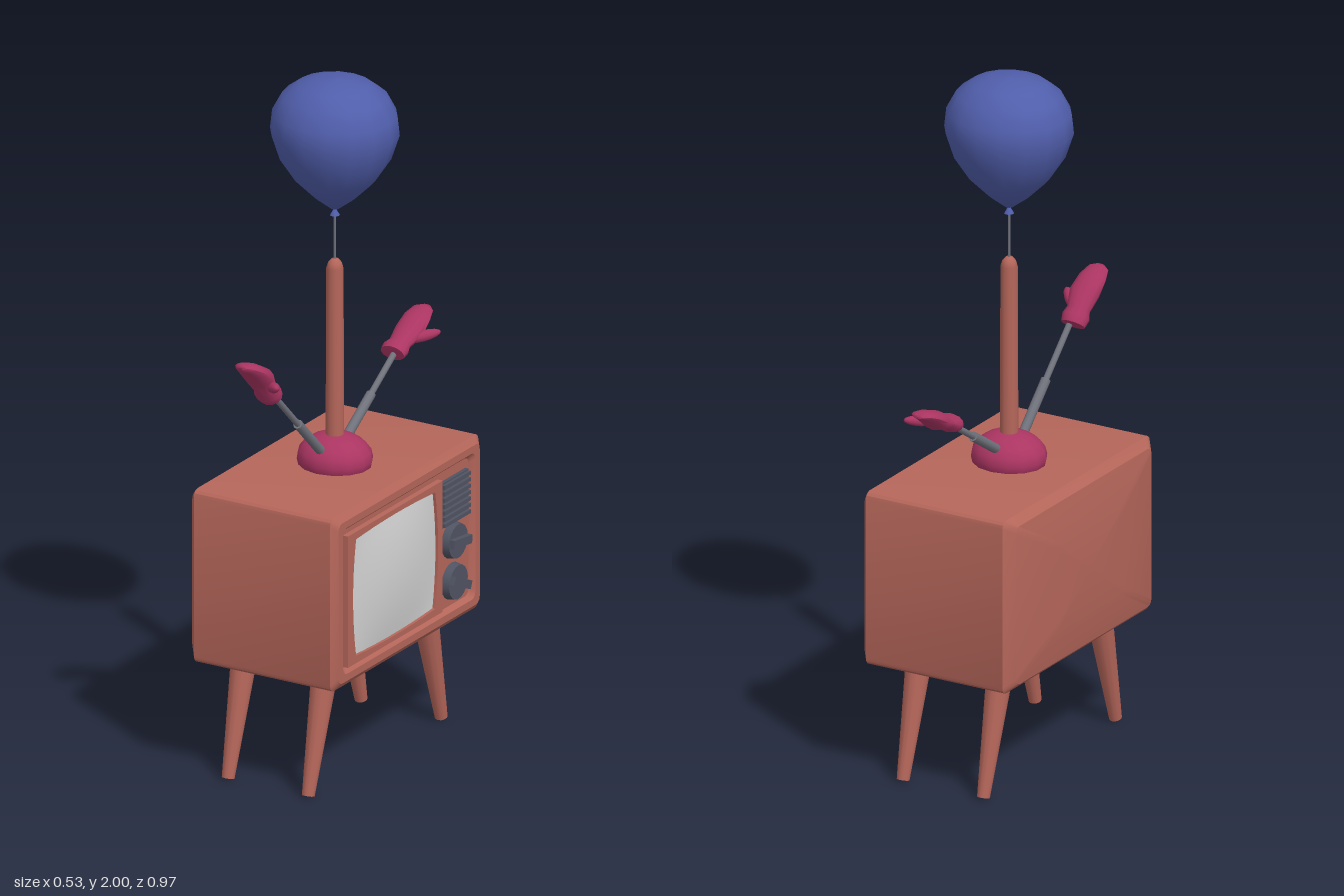
import * as THREE from 'three';
import { toCreasedNormals } from 'three/addons/utils/BufferGeometryUtils.js';

const V = (x, y, z) => new THREE.Vector3(x, y, z);

function material(name, color) {
  const m = new THREE.MeshStandardMaterial({ color });
  m.name = name;
  return m;
}

// Skin through equal-length closed rings of points
function loft(rings, crease) {
  const n = rings[0].length, pos = [], idx = [];
  rings.forEach(r => r.forEach(p => pos.push(p.x, p.y, p.z)));
  for (let j = 0; j < rings.length - 1; j++) {
    for (let i = 0; i < n; i++) {
      const a = j * n + i, b = j * n + (i + 1) % n;
      idx.push(a, b, a + n, b, b + n, a + n);
    }
  }
  const g = new THREE.BufferGeometry();
  g.setAttribute('position', new THREE.Float32BufferAttribute(pos, 3));
  g.setIndex(idx);
  return toCreasedNormals(g, crease);
}

// Rounded rectangle ring at depth z
function roundRect(z, hw, hh, r) {
  const pts = [];
  for (let c = 0; c < 4; c++) {
    const sx = c === 0 || c === 3 ? 1 : -1, sy = c < 2 ? 1 : -1;
    for (let k = 0; k < 4; k++) {
      const a = (c + k / 3) * Math.PI / 2;
      pts.push(V(sx * (hw - r) + r * Math.cos(a), sy * (hh - r) + r * Math.sin(a), z));
    }
  }
  return pts;
}

export function createModel() {
  const model = new THREE.Group();
  // The set is built facing +z, then turned to face +x
  const set = new THREE.Group();
  set.name = 'television';
  set.rotation.y = Math.PI / 2;
  model.add(set);

  const wood = material('terracotta', 0xb5665a);
  const blue = material('balloon blue', 0x505eab);
  const berry = material('berry', 0xab3562);
  const metal = material('grey metal', 0x70727c);
  const dark = material('dark slate', 0x505462);
  const glass = material('screen grey', 0xd2d2d2);

  function add(name, geo, mat, x = 0, y = 0, z = 0, parent = set) {
    const m = new THREE.Mesh(geo, mat);
    m.name = name;
    m.position.set(x, y, z);
    parent.add(m);
    return m;
  }

  // Tapered round bar from a to b
  function bar(name, a, b, ra, rb, mat, sides = 10) {
    const d = b.clone().sub(a);
    const m = add(name, new THREE.CylinderGeometry(rb, ra, d.length(), sides), mat);
    m.position.copy(a).addScaledVector(d, 0.5);
    m.quaternion.setFromUnitVectors(V(0, 1, 0), d.normalize());
    return m;
  }

  // Cabinet: bulging back, chamfered edges, recessed front
  const cabinet = [
    [-0.265, 0, 0, 0], [-0.265, 0.17, 0.125, 0.02], [-0.243, 0.362, 0.235, 0.02],
    [-0.218, 0.394, 0.257, 0.02], [0.224, 0.394, 0.257, 0.02], [0.24, 0.375, 0.238, 0.02],
    [0.24, 0.352, 0.217, 0.02], [0.226, 0.338, 0.205, 0.02], [0.226, 0, 0, 0],
  ];
  add('cabinet', loft(cabinet.map(s => roundRect(...s)), 0.5), wood, -0.003, 0.597);

  // Screen bezel with a barrel-shaped opening
  const [sx, sy, hw, hh] = [-0.08, 0.593, 0.226, 0.18];
  const bezel = new THREE.Shape();
  bezel.moveTo(-0.253, -0.195).lineTo(0.25, -0.195).lineTo(0.25, 0.195).lineTo(-0.253, 0.195);
  const hole = new THREE.Path();
  const cx = hw * 0.93, cy = hh * 0.96;
  hole.moveTo(-cx, -cy);
  hole.quadraticCurveTo(-hw * 1.07, 0, -cx, cy);
  hole.quadraticCurveTo(0, hh * 1.04, cx, cy);
  hole.quadraticCurveTo(hw * 1.07, 0, cx, -cy);
  hole.quadraticCurveTo(0, -hh * 1.04, -cx, -cy);
  bezel.holes.push(hole);
  add('screenBezel', new THREE.ExtrudeGeometry(bezel, {
    depth: 0.018, bevelEnabled: false, curveSegments: 8,
  }), wood, sx, sy, 0.225);

  // Bulging screen
  const screen = new THREE.PlaneGeometry(2, 2, 12, 10);
  const sp = screen.attributes.position;
  for (let i = 0; i < sp.count; i++) {
    const x = sp.getX(i), y = sp.getY(i);
    sp.setXYZ(i, x * hw * (1 - 0.07 * y * y), y * hh * (1 - 0.04 * x * x),
      0.234 + 0.018 * (1 - x * x) * (1 - y * y));
  }
  screen.computeVertexNormals();
  add('screen', screen, glass, sx, sy);

  // Speaker grille
  add('grillePlate', new THREE.BoxGeometry(0.142, 0.134, 0.012), dark, 0.246, 0.707, 0.231);
  for (let i = 0; i < 7; i++) {
    add('grilleSlat', new THREE.BoxGeometry(0.138, 0.011, 0.01), dark, 0.246, 0.65 + i * 0.019, 0.241);
  }

  // Tuning knobs with grips
  for (const [y, tilt] of [[0.585, -0.12], [0.463, -0.42]]) {
    const knob = new THREE.Group();
    knob.name = 'knob';
    knob.position.set(0.244, y, 0);
    knob.rotation.z = tilt;
    set.add(knob);
    const disc = add('knobDisc', new THREE.CylinderGeometry(0.05, 0.054, 0.024, 18), dark, 0, 0, 0.237, knob);
    disc.rotation.x = Math.PI / 2;
    add('knobGrip', new THREE.BoxGeometry(0.096, 0.025, 0.018), dark, 0, 0, 0.256, knob);
  }

  // Splayed legs
  for (const side of [-1, 1]) {
    for (const z of [-0.13, 0.13]) {
      bar('leg', V(side * 0.353 - 0.006, 0.005, z), V(side * 0.263 - 0.006, 0.355, z), 0.018, 0.038, wood, 12);
    }
  }

  // Aerial base, pole with rounded tip
  const ax = -0.018, az = 0.008;
  add('aerialBase', new THREE.SphereGeometry(1, 14, 10), berry, ax, 0.873, az).scale.set(0.1, 0.073, 0.11);
  const pole = [[0.026, 0.9], [0.024, 1.435], [0.019, 1.452], [0.01, 1.462], [0, 1.464]];
  add('pole', new THREE.LatheGeometry(pole.map(p => new THREE.Vector2(...p)), 12), wood, ax, 0, az);

  // Balloon on its string
  bar('string', V(ax, 1.45, az), V(ax, 1.61, az), 0.004, 0.004, metal, 6);
  add('balloonKnot', new THREE.ConeGeometry(0.014, 0.024, 10), blue, ax, 1.604, az);
  const skin = [[0, 1.608], [0.012, 1.612], [0.06, 1.648], [0.115, 1.701], [0.16, 1.768], [0.184, 1.84],
    [0.178, 1.895], [0.15, 1.947], [0.105, 1.98], [0.055, 1.996], [0, 2]];
  add('balloon', new THREE.LatheGeometry(skin.map(p => new THREE.Vector2(...p)), 16), blue, ax, 0, az)
    .scale.set(0.945, 1, 1);

  // Telescopic aerial arms
  function arm(a, b) {
    const mid = a.clone().lerp(b, 0.5);
    bar('aerialLower', a, mid, 0.014, 0.014, metal);
    bar('aerialUpper', mid, b, 0.009, 0.009, metal);
  }
  arm(V(-0.07, 0.895, 0.006), V(-0.35, 1.172, 0.004));
  arm(V(0.03, 0.9, 0.006), V(0.33, 1.09, 0.004));

  // Mitten: sections are [x, y, z, half thickness, half width]
  function mitten(sections, thumbRoot, thumbTip) {
    const rings = sections.map(([x, y, z, t, w], j) => {
      const p = sections[Math.max(j - 1, 0)], q = sections[Math.min(j + 1, sections.length - 1)];
      const d = Math.hypot(q[0] - p[0], q[1] - p[1]);
      const nx = -(q[1] - p[1]) / d, ny = (q[0] - p[0]) / d;
      return Array.from({ length: 12 }, (_, i) => {
        const a = i / 12 * Math.PI * 2, c = Math.cos(a) * t;
        return V(x + nx * c, y + ny * c, z + Math.sin(a) * w);
      });
    });
    add('mitten', loft(rings, 0.9), berry);
    const d = thumbTip.clone().sub(thumbRoot);
    const thumb = add('mittenThumb', new THREE.SphereGeometry(1, 10, 8), berry);
    thumb.position.copy(thumbRoot).addScaledVector(d, 0.5);
    thumb.quaternion.setFromUnitVectors(V(0, 1, 0), d.clone().normalize());
    thumb.scale.set(0.016, d.length() / 2, 0.016);
  }
  mitten([
    [-0.335, 1.155, -0.006, 0, 0], [-0.336, 1.157, -0.006, 0.03, 0.036], [-0.352, 1.175, -0.006, 0.034, 0.041],
    [-0.366, 1.192, -0.006, 0.026, 0.035], [-0.395, 1.233, -0.008, 0.032, 0.046], [-0.434, 1.264, -0.01, 0.022, 0.043],
    [-0.466, 1.282, -0.01, 0.014, 0.032], [-0.48, 1.287, -0.008, 0.005, 0.014], [-0.481, 1.288, -0.008, 0, 0],
  ], V(-0.36, 1.195, 0.005), V(-0.424, 1.222, 0.068));
  mitten([
    [0.298, 1.075, 0.001, 0, 0], [0.299, 1.075, 0.001, 0.025, 0.038], [0.318, 1.083, 0.001, 0.027, 0.041],
    [0.337, 1.091, 0.001, 0.021, 0.034], [0.385, 1.112, 0.003, 0.028, 0.044], [0.43, 1.138, 0.001, 0.019, 0.042],
    [0.464, 1.152, 0, 0.012, 0.032], [0.483, 1.155, 0, 0.005, 0.014], [0.485, 1.156, 0, 0, 0],
  ], V(0.352, 1.096, 0.01), V(0.43, 1.112, 0.078));

  return model;
}
